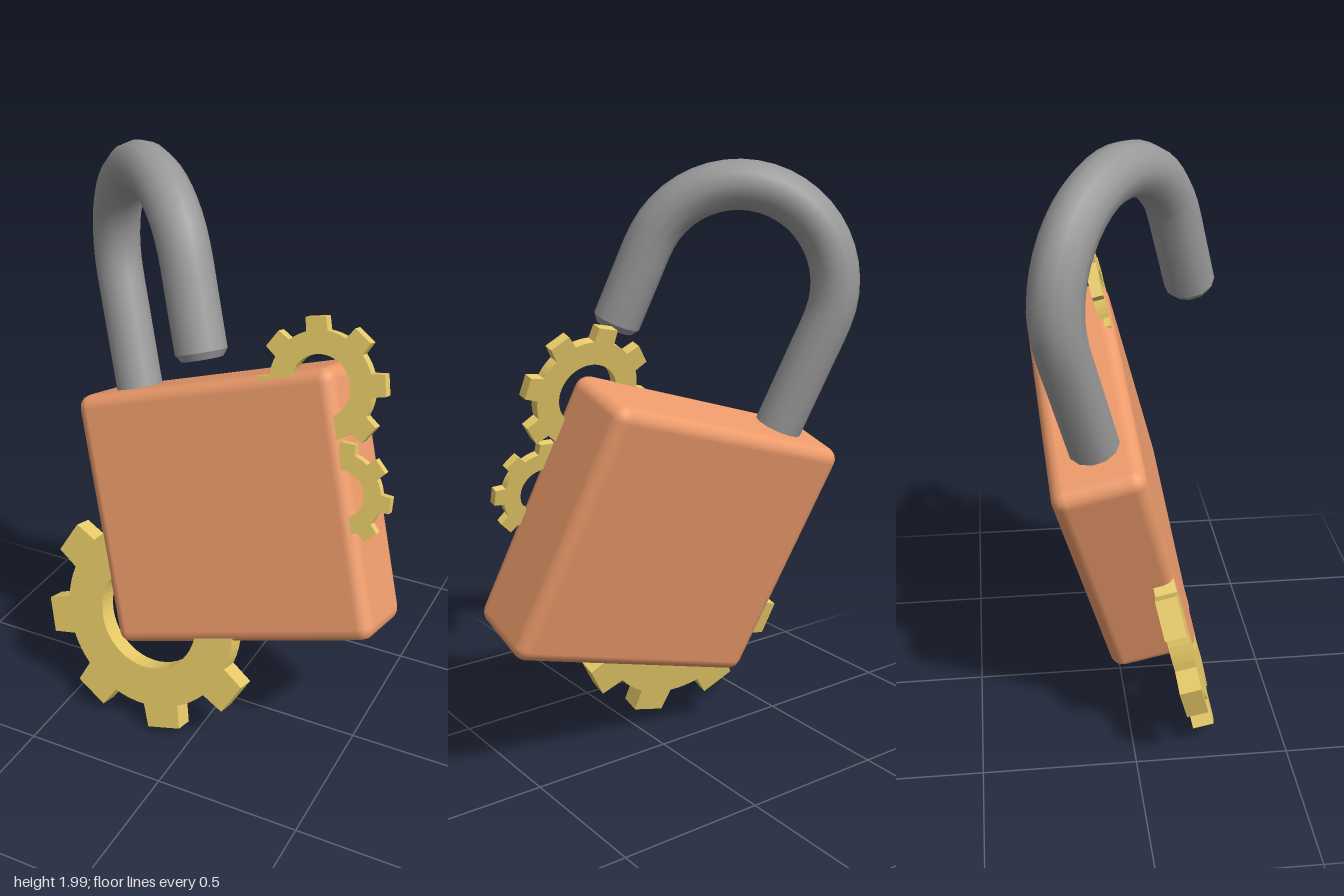
import * as THREE from 'three';
import { RoundedBoxGeometry } from 'three/addons/geometries/RoundedBoxGeometry.js';

const paint = (color) => new THREE.MeshStandardMaterial({ color });

// Eight-toothed ring of tip radius 1, front face at z = 0
function gearGeometry() {
  const teeth = 8, root = 0.8, step = (Math.PI * 2) / teeth;
  const pts = [];
  const polar = (r, a) => pts.push(new THREE.Vector2(r * Math.cos(a), r * Math.sin(a)));
  for (let i = 0; i < teeth; i++) {
    const a = i * step;
    polar(root, a - 0.21);
    polar(1, a - 0.155);
    polar(1, a + 0.155);
    polar(root, a + 0.21);
    // curved gap between teeth
    for (let k = 1; k < 4; k++) polar(root, a + 0.21 + ((step - 0.42) * k) / 4);
  }
  const shape = new THREE.Shape(pts);
  shape.holes.push(new THREE.Path().absarc(0, 0, 0.46, 0, Math.PI * 2, true));
  const geo = new THREE.ExtrudeGeometry(shape, { depth: 0.17, bevelEnabled: false, curveSegments: 24 });
  return geo.translate(0, 0, -0.17);
}

// Open hook: long leg, half circle, short leg with a chamfered tip
function makeShackle() {
  const group = new THREE.Group();
  group.name = 'shackle';
  const R = 0.317, r = 0.08, longLeg = -0.46, shortLeg = -0.27;
  const pts = [];
  for (let i = 0; i < 4; i++) pts.push(new THREE.Vector3(-R, longLeg * (1 - i / 4), 0));
  for (let i = 0; i <= 16; i++) {
    const a = Math.PI * (1 - i / 16);
    pts.push(new THREE.Vector3(R * Math.cos(a), R * Math.sin(a), 0));
  }
  for (let i = 1; i <= 3; i++) pts.push(new THREE.Vector3(R, (shortLeg * i) / 3, 0));
  const mat = paint(0x999999);
  const bar = new THREE.Mesh(new THREE.TubeGeometry(new THREE.CatmullRomCurve3(pts), 40, r, 12), mat);
  bar.name = 'shackleBar';
  const tip = new THREE.Mesh(new THREE.CylinderGeometry(r, r * 0.8, 0.022, 12), mat);
  tip.name = 'shackleTip';
  tip.position.set(R, shortLeg - 0.011, 0);
  tip.rotation.y = Math.PI / 2;
  group.add(bar, tip);
  return group;
}

export function createModel() {
  const model = new THREE.Group();
  model.name = 'openPadlock';

  // Everything shares the tilted frame of the lock body
  const lock = new THREE.Group();
  lock.name = 'tiltedLock';
  lock.position.set(0.025, 0.805, -0.035);
  lock.rotation.set(-0.248, -0.04, 0.305);
  model.add(lock);

  const body = new THREE.Mesh(new RoundedBoxGeometry(0.96, 0.88, 0.29, 2, 0.045), paint(0xee9c6c));
  body.name = 'lockBody';
  lock.add(body);

  // Shackle swung open around its long leg
  const shackle = makeShackle();
  shackle.position.set(-0.047, 0.823, 0.212);
  shackle.rotation.y = -0.686;
  lock.add(shackle);

  // Gears half sunk into the body, just behind its front face
  const gearGeo = gearGeometry();
  const gold = paint(0xe8cb68);
  const gears = [
    ['largeGear', -0.339, -0.343, 0.408, -0.04],
    ['mediumGear', 0.434, 0.383, 0.217, -0.1],
    ['smallGear', 0.449, 0.043, 0.165, -0.305],
  ];
  for (const [name, x, y, size, turn] of gears) {
    const gear = new THREE.Mesh(gearGeo, gold);
    gear.name = name;
    gear.position.set(x, y, 0.135);
    gear.rotation.z = turn;
    gear.scale.setScalar(size);
    lock.add(gear);
  }
  return model;
}
